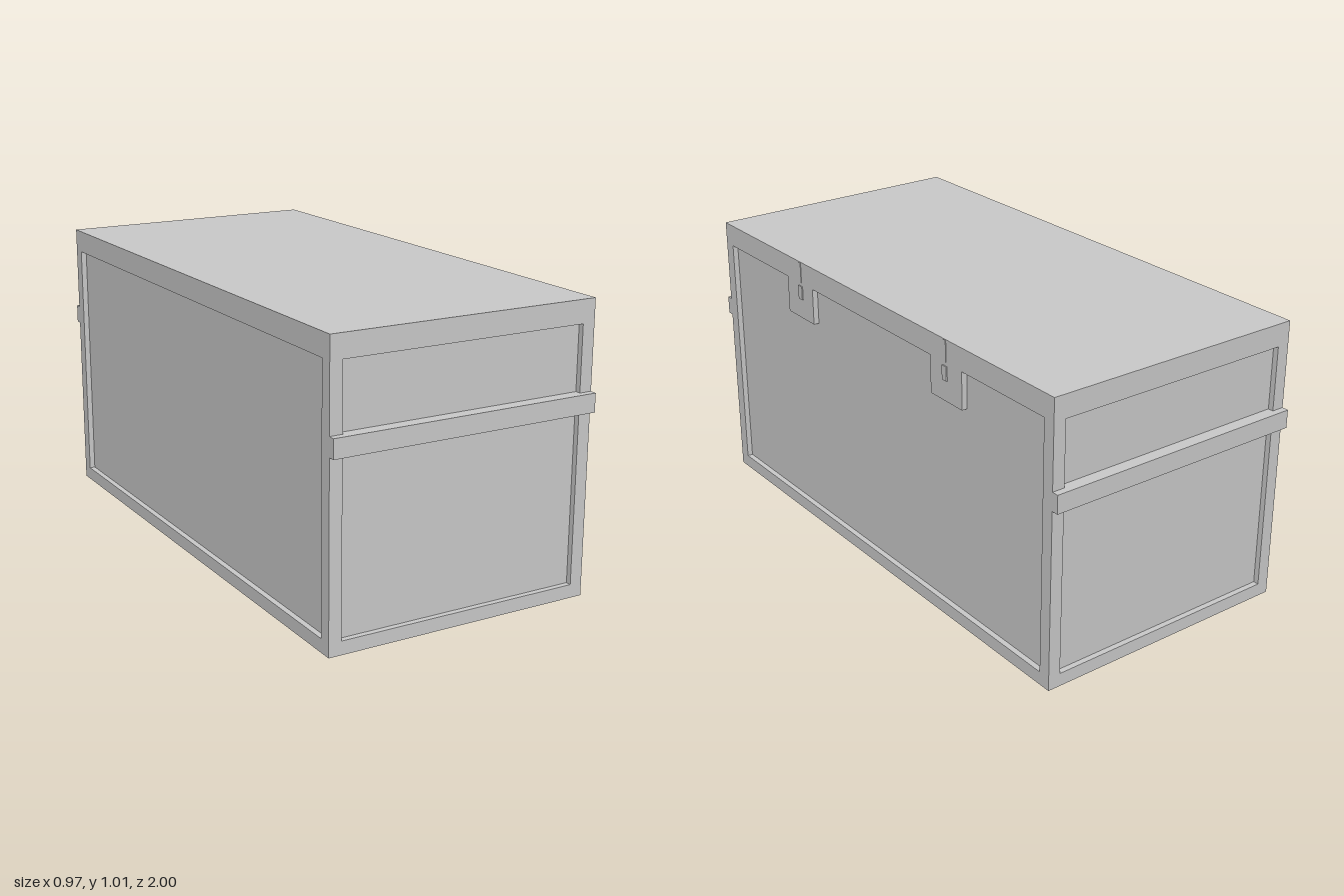
import * as THREE from 'three';

const X0 = -0.487, X1 = 0.483, CX = (X0 + X1) / 2, W = X1 - X0; // body width
const L = 1.952, SEAM = 0.975, TOP = 1.012;                     // length, lid seam, lid top
const T = 0.02, RIM = 0.045;                                    // panel recess, frame width
const FASTENER_Z = [-0.437, 0.437];

export function createModel() {
  const group = new THREE.Group();
  const material = new THREE.MeshStandardMaterial({ color: 0xcccccc, flatShading: true });

  const add = (name, geometry, x, y, z) => {
    const mesh = new THREE.Mesh(geometry, material);
    mesh.name = name;
    mesh.position.set(x, y, z);
    group.add(mesh);
    return mesh;
  };
  const box = (name, w, h, d, x, y, z) => add(name, new THREE.BoxGeometry(w, h, d), x, y, z);
  const outline = (points) => points.map(([x, y]) => new THREE.Vector2(x, y));
  const rect = (a, b, c, d) => [[a, b], [c, b], [c, d], [a, d]];

  // Flat frame with one opening, extruded to the recess depth
  const frame = (outer, hole) => {
    const shape = new THREE.Shape(outline(outer));
    shape.holes.push(new THREE.Path(outline(hole).reverse()));
    return new THREE.ExtrudeGeometry(shape, { depth: T, bevelEnabled: false });
  };

  // Recessed panels
  box('panelBody', W - 2 * T, SEAM - T, L - 2 * T, CX, (SEAM + T) / 2, 0);

  // Lid
  box('lid', W, TOP - SEAM, L, CX, (TOP + SEAM) / 2, 0);

  // End frames with a carrying bar across each
  const holeTop = 0.932;
  for (const s of [-1, 1]) {
    const end = s > 0 ? 'front' : 'back';
    add(end + 'Frame', frame(rect(-W / 2, 0, W / 2, SEAM),
      rect(-W / 2 + RIM, RIM + 0.002, W / 2 - RIM, holeTop)), CX, 0, s > 0 ? L / 2 - T : -L / 2);
    const depth = 1 - L / 2 + T;
    box(end + 'CarryBar', W, 0.065, depth, CX, 0.673, s * (1 - depth / 2));
  }

  // Side frames; the left one drops two tabs for the fasteners
  const half = L / 2 - T, hz = L / 2 - RIM;
  const notched = [[-hz, RIM + 0.002], [hz, RIM + 0.002], [hz, holeTop]];
  for (const z of [...FASTENER_Z].reverse()) {
    const c = z + 0.005 * Math.sign(z);
    notched.push([c + 0.084, holeTop], [c + 0.084, 0.8], [c - 0.084, 0.8], [c - 0.084, holeTop]);
  }
  notched.push([-hz, holeTop]);
  const outer = rect(-half, 0, half, SEAM);
  add('leftFrame', frame(outer, notched), X1 - T, 0, 0).rotation.y = Math.PI / 2;
  add('rightFrame', frame(outer, rect(-hz, RIM + 0.002, hz, holeTop)), X0, 0, 0).rotation.y = Math.PI / 2;

  // Bottom frame, fitted inside the end and side frames
  const bw = W / 2 - T, rw = W / 2 - RIM;
  add('bottomFrame', frame(rect(-bw, -half, bw, half), rect(-rw, -hz, rw, hz)), CX, T, 0).rotation.x = Math.PI / 2;

  // Fasteners: thin strap over the seam and a small staple below it
  for (const z of FASTENER_Z) {
    box('fastenerStrap', 0.004, 0.075, 0.012, X1, 0.972, z);
    box('fastenerStaple', 0.014, 0.05, 0.024, X1 - 0.003, 0.897, z);
  }
  return group;
}
